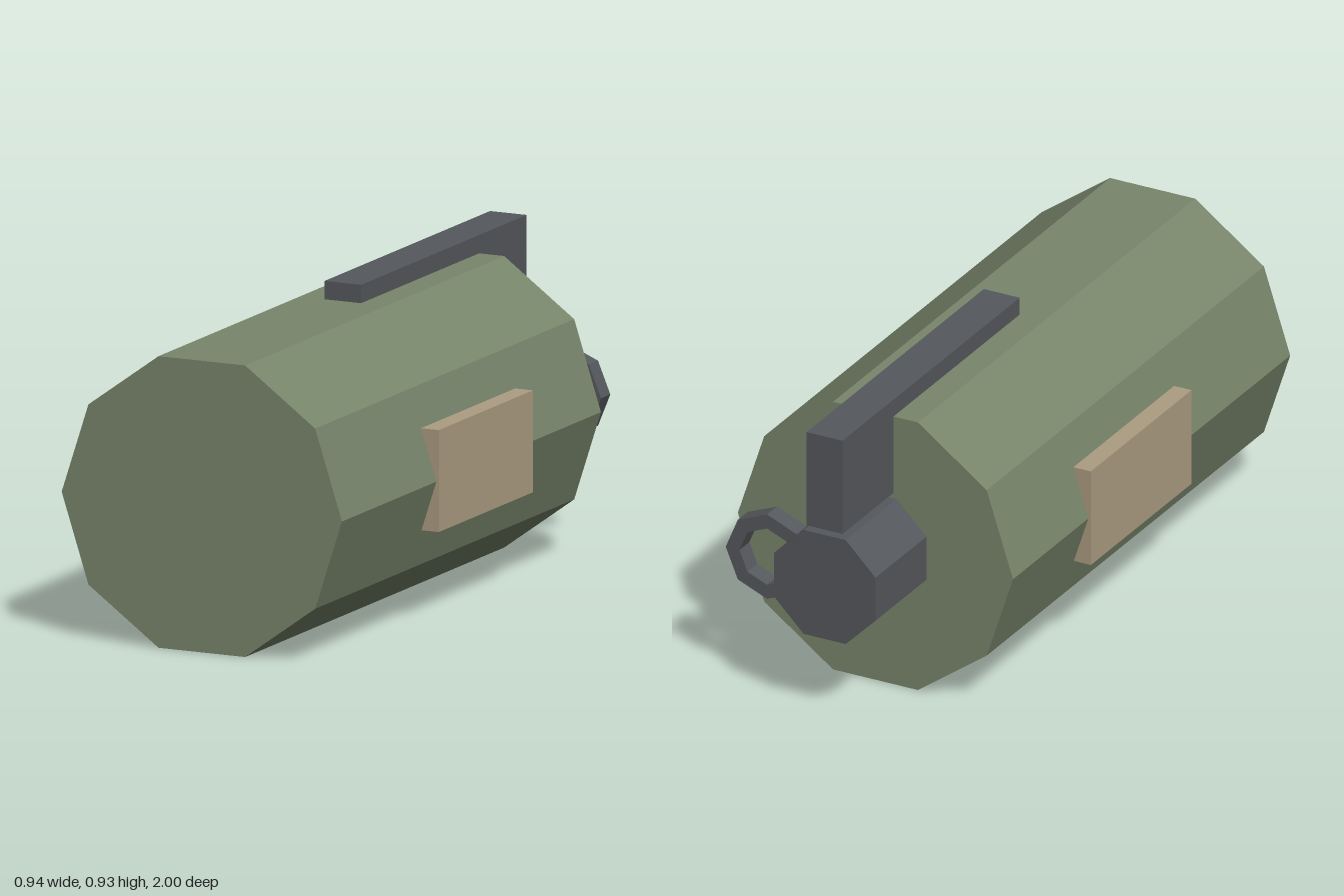
import * as THREE from 'three';

const makeMaterial = (name, color) => {
  const m = new THREE.MeshStandardMaterial({ color, flatShading: true });
  m.name = name;
  return m;
};

// Regular polygon outline, first corner at the given angle
function polygon(Kind, radius, sides, start = 0) {
  const points = [];
  for (let i = 0; i < sides; i++) {
    const a = start + (i / sides) * Math.PI * 2;
    points.push(new THREE.Vector2(Math.cos(a) * radius, Math.sin(a) * radius));
  }
  return new Kind(points);
}

export function createModel() {
  const group = new THREE.Group();
  const green = makeMaterial('olive green', 0x78866b);
  const tan = makeMaterial('tan', 0xad9d82);
  const grey = makeMaterial('dark grey', 0x55585d);
  const axisY = 0.4375;

  const add = (name, geometry, material, x, y, z) => {
    const mesh = new THREE.Mesh(geometry, material);
    mesh.name = name;
    mesh.position.set(x, y, z);
    group.add(mesh);
    return mesh;
  };

  // Prism lying along z between two depths
  const prism = (name, radius, sides, start, z0, z1, material) => {
    const geometry = new THREE.ExtrudeGeometry(polygon(THREE.Shape, radius, sides, start), {
      depth: z1 - z0, bevelEnabled: false,
    });
    add(name, geometry, material, 0, axisY, z0);
  };

  // Ten-sided body and eight-sided rear cap
  prism('body', 0.46, 10, 0, -0.69, 1, green);
  prism('rearCap', 0.184, 8, Math.PI / 8, -1, -0.69, grey);

  // L-shaped lever: long top bar with a post behind the body
  const profile = new THREE.Shape([
    [-0.08, 0.93], [-0.08, 0.87], [0.69, 0.87], [0.69, 0.625], [1, 0.625], [1, 0.93],
  ].map(([x, y]) => new THREE.Vector2(x, y)));
  const lever = new THREE.ExtrudeGeometry(profile, { depth: 0.12, bevelEnabled: false });
  lever.translate(0, 0, -0.06).rotateY(Math.PI / 2);
  add('lever', lever, grey, 0, 0, 0);

  // Pull ring on the left of the cap
  const ringShape = polygon(THREE.Shape, 0.138, 8);
  ringShape.holes.push(polygon(THREE.Path, 0.092, 8));
  const ring = new THREE.ExtrudeGeometry(ringShape, { depth: 0.06, bevelEnabled: false });
  add('pullRing', ring, grey, 0.242, 0.44, -0.91);

  // Side panels
  for (const side of [1, -1]) {
    add(side > 0 ? 'leftPanel' : 'rightPanel', new THREE.BoxGeometry(0.068, 0.306, 0.614),
      tan, side * 0.434, 0.44, 0.077);
  }

  return group;
}
